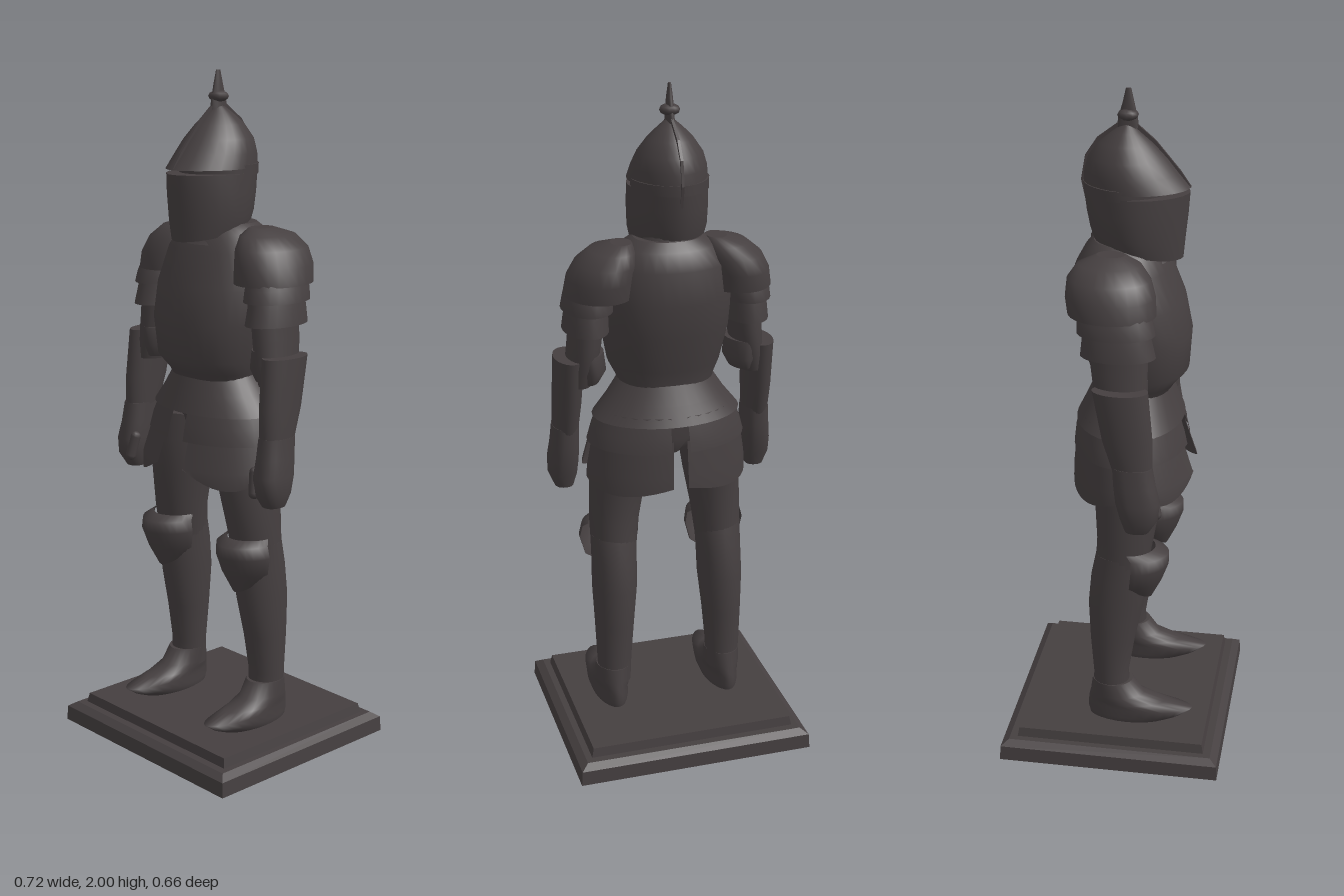
import * as THREE from 'three';

const steel = new THREE.MeshStandardMaterial({ color: 0x453f40, side: THREE.DoubleSide });
steel.name = 'dark steel';

// Lofts rings listed bottom to top: [y, centreX, halfWidth, zFront, zBack, slope].
// power < 2 gives a keeled ring, from/to (0 = front, +x at PI/2) give an open plate.
function loft(rings, { power = 2, from = -Math.PI, to = Math.PI, seg = 24, scallop = 0, cap = true } = {}) {
  const pos = [], index = [];
  const closed = to - from > 6.28;
  const cols = closed ? seg : seg + 1;
  const shape = (v) => Math.sign(v) * Math.abs(v) ** (2 / power);
  rings.forEach(([y, cx, rx, zf, zb, slope = 0], i) => {
    for (let j = 0; j < cols; j++) {
      const t = j / seg, a = from + (to - from) * t;
      const z = (zf + zb) / 2 + shape(Math.cos(a)) * (zf - zb) / 2;
      const drop = i === 0 ? scallop * (1 - Math.sin(t * Math.PI)) : 0;
      pos.push(cx + rx * shape(Math.sin(a)), y + slope * z + drop, z);
    }
  });
  for (let i = 0; i < rings.length - 1; i++) {
    for (let j = 0; j < seg; j++) {
      const k = (j + 1) % cols, a = i * cols, b = a + cols;
      index.push(a + j, a + k, b + j, a + k, b + k, b + j);
    }
  }
  // flat end caps with their own vertices
  if (closed && cap) {
    [0, rings.length - 1].forEach((r, end) => {
      const [y, cx, , zf, zb, slope = 0] = rings[r];
      const z = (zf + zb) / 2, c = pos.length / 3;
      pos.push(cx, y + slope * z, z);
      for (let j = 0; j < cols; j++) pos.push(...pos.slice((r * cols + j) * 3, (r * cols + j) * 3 + 3));
      for (let j = 0; j < cols; j++) {
        const p = c + 1 + j, q = c + 1 + (j + 1) % cols;
        index.push(c, end ? p : q, end ? q : p);
      }
    });
  }
  const geo = new THREE.BufferGeometry();
  geo.setAttribute('position', new THREE.Float32BufferAttribute(pos, 3));
  geo.setIndex(index);
  geo.computeVertexNormals();
  return geo;
}

export function createModel() {
  const model = new THREE.Group();
  model.name = 'suitOfArmour';
  const add = (name, geo, parent = model) => {
    const mesh = new THREE.Mesh(geo, steel);
    mesh.name = name;
    parent.add(mesh);
    return mesh;
  };

  // Stepped plinth made of four-sided tapered slabs
  const slab = (name, y0, y1, x0, z0, x1, z1) => {
    const g = new THREE.BoxGeometry(2, 1, 2);
    const p = g.attributes.position;
    for (let i = 0; i < p.count; i++) {
      const top = p.getY(i) > 0;
      p.setXYZ(i, p.getX(i) * (top ? x1 : x0), top ? y1 : y0, p.getZ(i) * (top ? z1 : z0));
    }
    g.computeVertexNormals();
    add(name, g);
  };
  slab('plinthBase', 0, 0.045, 0.36, 0.332, 0.357, 0.33);
  slab('plinthBevel', 0.045, 0.06, 0.357, 0.33, 0.335, 0.308);
  slab('plinthTop', 0.06, 0.088, 0.316, 0.285, 0.31, 0.28);

  // Torso
  add('cuirass', loft([
    [1.11, 0, 0.135, 0.125, -0.085], [1.15, 0, 0.145, 0.15, -0.09],
    [1.19, 0, 0.165, 0.185, -0.1], [1.3, 0, 0.187, 0.192, -0.13],
    [1.4, 0, 0.19, 0.172, -0.145], [1.5, 0, 0.175, 0.132, -0.142],
    [1.55, 0, 0.14, 0.105, -0.115], [1.575, 0, 0.1, 0.08, -0.09],
  ], { power: 2.2, seg: 32 }));
  add('gorget', loft([
    [1.52, 0, 0.125, 0.13, -0.11], [1.56, -0.005, 0.095, 0.1, -0.09], [1.62, -0.01, 0.085, 0.09, -0.08],
  ]));

  // Helmet: skull, eye slit, visor, crest ridge and plume holder
  const hx = -0.01;
  add('visor', loft([
    [1.56, hx, 0.105, 0.165, -0.09, -0.2], [1.6, hx, 0.115, 0.17, -0.1, -0.1],
    [1.66, hx, 0.117, 0.178, -0.11], [1.717, hx, 0.115, 0.182, -0.117],
  ], { power: 1.8, seg: 28 }));
  add('eyeSlit', loft([[1.71, hx, 0.112, 0.13, -0.117], [1.74, hx, 0.112, 0.13, -0.118]], { power: 1.8, seg: 28 }));
  add('skull', loft([
    [1.73, hx, 0.115, 0.184, -0.118], [1.77, hx, 0.108, 0.15, -0.116],
    [1.81, hx, 0.094, 0.118, -0.105], [1.85, hx, 0.066, 0.08, -0.075],
    [1.88, hx, 0.036, 0.044, -0.038], [1.9, hx, 0.012, 0.02, -0.01],
  ], { power: 1.8, seg: 28 }));
  const ridge = new THREE.Shape([
    [0.184, 1.733], [0.155, 1.775], [0.085, 1.858], [0.03, 1.905], [-0.02, 1.905],
    [-0.08, 1.86], [-0.113, 1.81], [-0.125, 1.74], [-0.1, 1.62], [0, 1.75],
  ].map(([z, y]) => new THREE.Vector2(-z, y)));
  const ridgeGeo = new THREE.ExtrudeGeometry(ridge, { depth: 0.008, bevelEnabled: false });
  ridgeGeo.rotateY(Math.PI / 2);
  add('helmetRidge', ridgeGeo).position.x = hx - 0.004;
  add('plumeHolder', loft([
    [1.89, hx, 0.013, 0.038, -0.024], [1.92, hx, 0.011, 0.034, -0.02],
    [1.96, hx, 0.009, 0.025, -0.008], [2.0, hx, 0.004, 0.016, 0.001],
  ], { seg: 12 }));
  const knob = add('plumeKnob', new THREE.SphereGeometry(0.03, 10, 6));
  knob.scale.set(1, 0.55, 1);
  knob.position.set(hx, 1.927, 0.007);

  // Overlapping waist lames
  add('upperFauld', loft([
    [1.035, 0, 0.222, 0.175, -0.142], [1.09, 0, 0.178, 0.155, -0.115], [1.145, 0, 0.142, 0.135, -0.09],
  ], { cap: false, seg: 32 }));
  add('hipCore', loft([
    [0.93, 0, 0.03, 0.07, -0.08], [0.98, 0, 0.15, 0.1, -0.1], [1.08, 0, 0.16, 0.12, -0.1],
  ]));

  for (const s of [1, -1]) {
    const side = new THREE.Group();
    side.name = s > 0 ? 'leftSide' : 'rightSide';
    model.add(side);
    const part = (name, rings, o = {}) => {
      const opts = { ...o };
      if (o.from !== undefined && s < 0) { opts.from = -o.to; opts.to = -o.from; }
      return add(name, loft(rings.map(([y, cx, ...rest]) => [y, cx * s, ...rest]), opts), side);
    };

    // Skirt plates, split at front and back
    part('middleFauld', [
      [0.955, 0, 0.238, 0.19, -0.15], [1.0, 0, 0.226, 0.18, -0.145], [1.06, 0, 0.2, 0.16, -0.13],
    ], { from: 0.14, to: 3.02, seg: 16 });
    part('frontTasset', [
      [0.83, 0, 0.25, 0.215, -0.15], [0.88, 0, 0.25, 0.212, -0.15], [0.99, 0, 0.225, 0.175, -0.14],
    ], { from: 0.22, to: 1.5, seg: 12, scallop: 0.05 });
    part('rearTasset', [
      [0.82, 0, 0.245, 0.2, -0.153], [0.88, 0, 0.243, 0.2, -0.152], [0.99, 0, 0.225, 0.175, -0.142],
    ], { from: 1.62, to: 3.05, seg: 12, scallop: 0.025 });

    // Shoulder and arm
    part('pauldron', [
      [1.42, 0.205, 0.1, 0.118, -0.13], [1.47, 0.2, 0.096, 0.115, -0.138],
      [1.515, 0.185, 0.087, 0.1, -0.135], [1.55, 0.165, 0.065, 0.07, -0.11], [1.568, 0.14, 0.03, 0.02, -0.06],
    ]);
    part('upperArmLame', [
      [1.375, 0.235, 0.075, 0.12, -0.1], [1.41, 0.232, 0.072, 0.112, -0.1], [1.46, 0.225, 0.06, 0.09, -0.08],
    ]);
    part('lowerArmLame', [
      [1.31, 0.24, 0.066, 0.122, -0.09], [1.36, 0.238, 0.062, 0.11, -0.085], [1.41, 0.232, 0.055, 0.1, -0.075],
    ]);
    part('upperArm', [
      [1.14, 0.262, 0.04, 0.095, -0.03], [1.2, 0.252, 0.046, 0.1, -0.05],
      [1.27, 0.243, 0.048, 0.1, -0.06], [1.38, 0.232, 0.05, 0.1, -0.06],
    ]);
    part('elbowGuard', [
      [1.15, 0.235, 0.036, 0.085, -0.035], [1.185, 0.23, 0.05, 0.1, -0.056], [1.24, 0.238, 0.052, 0.1, -0.052],
    ], { power: 1.7 });
    part('gauntletCuff', [
      [0.98, 0.295, 0.038, 0.122, 0.01], [1.08, 0.292, 0.042, 0.122, -0.022], [1.225, 0.288, 0.044, 0.108, -0.05],
    ]);
    part('hand', [
      [0.8, 0.3, 0.028, 0.115, 0.045], [0.84, 0.302, 0.043, 0.14, 0.032],
      [0.89, 0.3, 0.045, 0.145, 0.018], [0.94, 0.297, 0.042, 0.132, 0.012], [1.0, 0.295, 0.039, 0.122, 0.008],
    ], { power: 2.4 });
    const thumb = add('thumb', new THREE.CapsuleGeometry(0.016, 0.06, 4, 8), side);
    thumb.position.set(s * 0.268, 0.87, 0.125);
    thumb.rotation.set(-0.2, 0, s * 0.15);

    // Leg
    part('thigh', [
      [0.6, 0.165, 0.068, 0.09, -0.065], [0.7, 0.16, 0.075, 0.108, -0.06],
      [0.82, 0.147, 0.084, 0.128, -0.068], [0.92, 0.135, 0.09, 0.13, -0.085], [1.0, 0.12, 0.09, 0.11, -0.09],
    ]);
    part('shin', [
      [0.16, 0.175, 0.05, 0.045, -0.072], [0.24, 0.175, 0.053, 0.036, -0.07],
      [0.36, 0.172, 0.06, 0.055, -0.08], [0.48, 0.168, 0.068, 0.08, -0.086],
      [0.57, 0.166, 0.068, 0.09, -0.078], [0.65, 0.164, 0.07, 0.095, -0.062],
    ]);
    part('kneeCap', [
      [0.51, 0.166, 0.045, 0.105, -0.02], [0.57, 0.167, 0.078, 0.135, -0.03],
      [0.625, 0.168, 0.092, 0.155, -0.035], [0.66, 0.166, 0.085, 0.155, -0.035], [0.675, 0.164, 0.072, 0.115, -0.03],
    ], { from: -1.65, to: 1.65, power: 1.8, seg: 16, scallop: 0.04 });
    part('foot', [
      [0.086, 0.18, 0.05, 0.155, -0.082], [0.105, 0.18, 0.057, 0.2, -0.087],
      [0.13, 0.18, 0.056, 0.235, -0.087], [0.148, 0.179, 0.056, 0.15, -0.085],
      [0.17, 0.178, 0.055, 0.085, -0.08], [0.215, 0.176, 0.054, 0.05, -0.074],
    ], { power: 1.9 });
  }
  return model;
}
